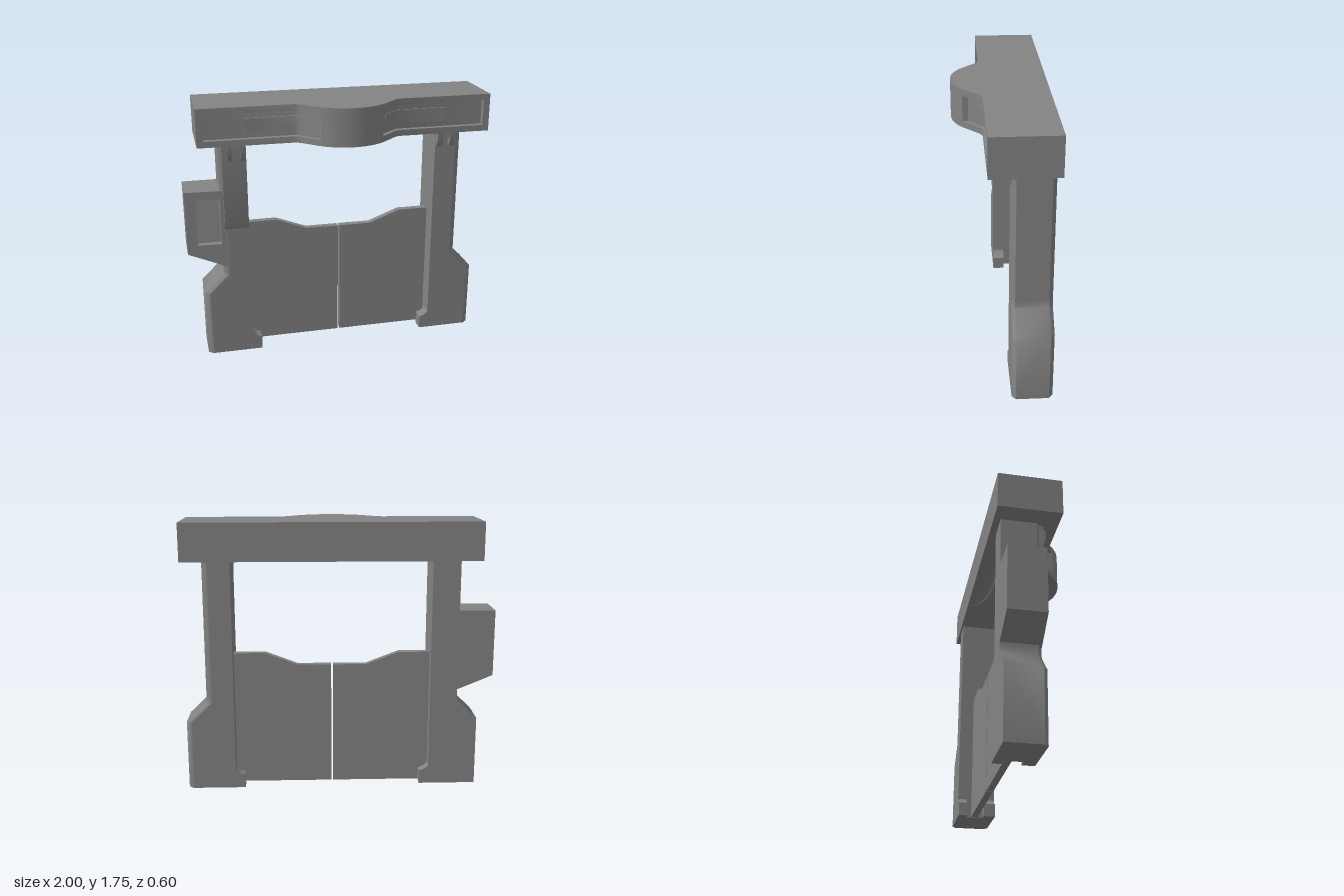
import * as THREE from 'three';
import { toCreasedNormals } from 'three/addons/utils/BufferGeometryUtils.js';

const CX = 0.0475; // symmetry axis of the gate
const material = new THREE.MeshStandardMaterial({ color: 0x848484 });
const V = (p) => new THREE.Vector2(p[0], p[1]);

function add(parent, name, geometry, crease = 0.5) {
  const mesh = new THREE.Mesh(toCreasedNormals(geometry, crease), material);
  mesh.name = name;
  parent.add(mesh);
  return mesh;
}

// Front outline (x, y) extruded between two depths
function slab(points, z0, z1, hole) {
  const shape = new THREE.Shape(points.map(V));
  if (hole) shape.holes.push(new THREE.Path(hole.map(V)));
  return new THREE.ExtrudeGeometry(shape, { depth: z1 - z0, bevelEnabled: false }).translate(0, 0, z0);
}

// Plan outline (x, z) extruded between two heights
function layer(points, y0, y1, hole) {
  const flip = ([x, z]) => [x, -z];
  return slab(points.map(flip), y0, y1, hole && hole.map(flip)).rotateX(-Math.PI / 2);
}

// Side outline (z, y) extruded between two x positions
function sideSlab(points, x0, x1) {
  return slab(points.map(([z, y]) => [-z, y]), x0, x1).rotateY(Math.PI / 2);
}

const rect = (x0, y0, x1, y1) => [[x0, y0], [x1, y0], [x1, y1], [x0, y1]];

// Front edge of the header: flat ends and a rounded nose in the middle
function noseZ(t) {
  t = Math.abs(t);
  if (t < 0.2) return 0.298 - 0.32 + Math.sqrt(0.32 * 0.32 - t * t);
  if (t < 0.31) return 0.228 - (t - 0.2) / 0.11 * 0.102;
  if (t < 0.34) return 0.126 - (t - 0.31) / 0.03 * 0.015;
  return 0.111;
}

function samples(a, b) {
  const extra = [0.31, 0.34].flatMap((v) => [v, -v]).filter((v) => v > a && v < b);
  for (let v = -0.28; v < 0.281; v += 0.02) if (v > a + 0.005 && v < b - 0.005) extra.push(v);
  return [a, ...extra.sort((p, q) => p - q), b];
}

const strip = (a, b, inset) => samples(a, b).map((t) => [CX + t, noseZ(t) - inset]);

// Column with a flared foot and softly chamfered outer corners
function pillar(s, front, back, backChamfer) {
  const inner = 0.64, cx = 0.03, cz = 0.025;
  const levels = [[0, 0.9525], [0.455, 0.9525], [0.585, 0.818], [0.64, 0.818], [1.51, 0.818]];
  const section = (o) => [
    [inner, front], [o - cx - 0.01, front], [o - cx, front], [o, front - cz],
    ...(backChamfer ? [[o, back + cz], [o - cx, back], [o - cx - 0.01, back]] : [[o, back]]),
    [inner, back],
  ];
  const n = section(0).length, pos = [], idx = [];
  for (const [y, o] of levels) for (const [x, z] of section(o)) pos.push(CX + s * x, y, z);
  const tri = (a, b, d) => (s > 0 ? idx.push(a, b, d) : idx.push(a, d, b));
  const top = (levels.length - 1) * n;
  for (let l = 0; l < levels.length - 1; l++) {
    for (let i = 0; i < n; i++) {
      const a = l * n + i, b = l * n + (i + 1) % n;
      tri(a, b, b + n);
      tri(a, b + n, a + n);
    }
  }
  for (let i = 1; i < n - 1; i++) {
    tri(0, i + 1, i);
    tri(top, top + i, top + i + 1);
  }
  const g = new THREE.BufferGeometry();
  g.setAttribute('position', new THREE.Float32BufferAttribute(pos, 3));
  g.setIndex(idx);
  return g.toNonIndexed();
}

function buildHeader() {
  const header = new THREE.Group();
  header.name = 'header';
  const W = 0.9525, B = -0.299;
  const back = [[CX + W, B], [CX - W, B]];
  const full = [...strip(-W, W, 0), ...back];
  const recessed = [
    ...strip(-W, -0.91, 0), ...strip(-0.91, -0.2, 0.035), ...strip(-0.2, 0.2, 0),
    ...strip(0.2, 0.91, 0.035), ...strip(0.91, W, 0), ...back,
  ];
  // Shallow half-round dish in the underside
  const dish = [];
  for (let i = 0; i <= 24; i++) {
    const a = Math.PI * i / 24;
    dish.push([CX - 0.31 * Math.cos(a), -0.285 + 0.125 * Math.sin(a)]);
  }
  add(header, 'headerBottom', layer(full, 1.505, 1.545, dish));
  add(header, 'headerMiddle', layer(recessed, 1.545, 1.71));
  add(header, 'headerTop', layer(full, 1.71, 1.75));
  const bowl = new THREE.SphereGeometry(1, 24, 8, 0, Math.PI, 0, Math.PI / 2)
    .scale(0.31, 0.039, 0.125).translate(CX, 1.505, -0.285);
  const dishMesh = add(header, 'undersideDish', bowl);
  dishMesh.material = material.clone();
  dishMesh.material.side = THREE.DoubleSide;
  // Raised plates in the two front recesses
  for (const [a, b] of [[-0.65, -0.23], [0.23, 0.65]]) {
    add(header, 'recessPlate', layer([...strip(a, b, 0.027), ...strip(a, b, 0.045).reverse()], 1.58, 1.67));
  }
  return header;
}

function buildReader() {
  const reader = new THREE.Group();
  reader.name = 'sideReader';
  const outline = [[-1, 0.75], [-0.72, 0.635], [-0.72, 1.18], [-1, 1.18]];
  const opening = rect(-0.93, 0.81, -0.775, 1.125);
  add(reader, 'readerBack', slab(outline, -0.255, -0.1));
  // The front face falls back slightly towards the outer side
  const frame = slab(outline, -0.1, 0, opening);
  const p = frame.attributes.position;
  for (let i = 0; i < p.count; i++) {
    if (p.getZ(i) > -0.05) p.setZ(i, (p.getX(i) + 0.72) * 0.06);
  }
  add(reader, 'readerFrame', frame);
  add(reader, 'readerRamp', sideSlab([[-0.11, 0.81], [-0.05, 0.81], [-0.1, 1.125], [-0.11, 1.125]], -0.93, -0.775));
  return reader;
}

export function createModel() {
  const model = new THREE.Group();
  model.name = 'gate';
  model.add(buildHeader(), buildReader());

  // The two pillars stand slightly offset in depth
  for (const [s, side, front, back] of [[-1, 'right', 0, -0.255], [1, 'left', -0.03, -0.285]]) {
    const mx = (pts) => pts.map(([x, y]) => [CX + s * x, y]);
    add(model, side + 'Pillar', pillar(s, front, back, s > 0), 0.82);
    // Toes in front of and behind the door
    const toe = mx([[0.65, 0], [0.58, 0], [0.58, 0.09], [0.61, 0.1], [0.635, 0.12], [0.65, 0.15]]);
    add(model, side + 'FrontToe', slab(toe, front - 0.08, front));
    add(model, side + 'BackToe', slab(toe, back, back + 0.06));
    // Door leaf with a dipped top edge
    const leaf = mx([[0.65, 0.005], [0.65, 0.895], [0.435, 0.895], [0.225, 0.815], [0.006, 0.815], [0.006, 0.005]]);
    add(model, side + 'Door', slab(leaf, -0.19, -0.145));
  }

  // Cover plate on the front of one pillar
  add(model, 'coverPlate', sideSlab([[-0.01, 0.91], [0.005, 0.915], [0.02, 0.945], [0.02, 1.505], [-0.01, 1.505]], -0.75, -0.594));

  // Hooks under the header
  for (const [a, b, z] of [[-0.718, -0.686, 0], [-0.632, -0.6, 0], [0.69, 0.728, -0.03], [0.775, 0.81, -0.03]]) {
    const hook = [[-0.01, 1.38], [0.02, 1.38], [0.04, 1.42], [0.04, 1.495], [-0.01, 1.495]];
    add(model, 'hook', sideSlab(hook.map(([d, y]) => [d + z, y]), a, b));
  }
  add(model, 'hookBridge', slab(rect(0.72, 1.435, 0.78, 1.495), -0.04, 0.005));
  return model;
}
